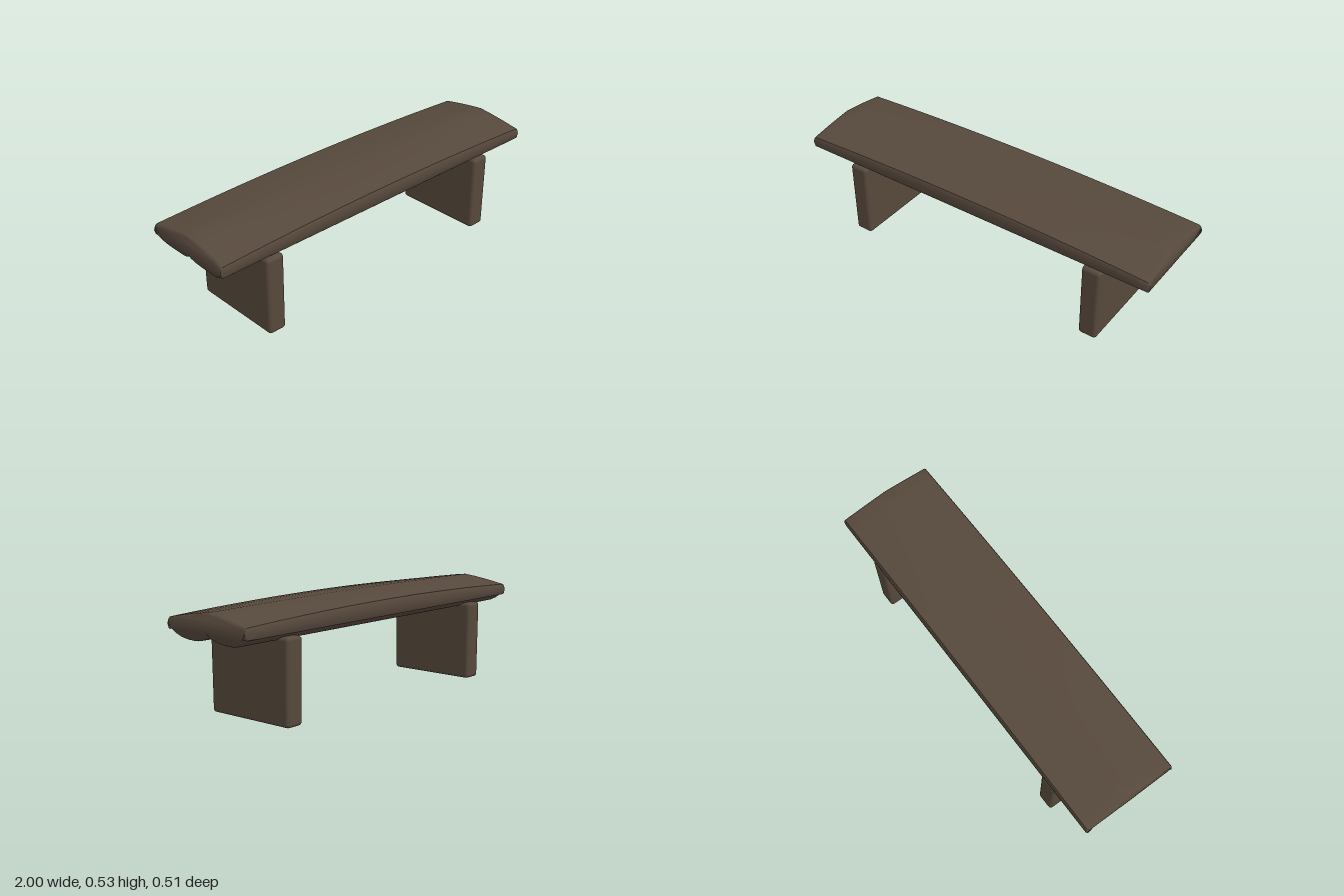
import * as THREE from 'three';
import { RoundedBoxGeometry } from 'three/addons/geometries/RoundedBoxGeometry.js';
import { toCreasedNormals } from 'three/addons/utils/BufferGeometryUtils.js';

const darkWood = new THREE.MeshStandardMaterial({ color: 0x56483c });
darkWood.name = 'dark wood';

// Half cross-section of the seat (z, y), from the bottom groove to the top ridge
const HALF = [
  [0, 0.43], [0.012, 0.418], [0.03, 0.404], [0.06, 0.393], [0.09, 0.387], [0.12, 0.385],
  [0.155, 0.388], [0.185, 0.396], [0.21, 0.41], [0.225, 0.422], [0.231, 0.434],
  [0.248, 0.429], [0.253, 0.435], [0.254, 0.47], [0.254, 0.5], [0.249, 0.51],
  [0.19, 0.518], [0.13, 0.525], [0.06, 0.531], [0, 0.534],
];

// How far the seat reaches along x at each height: rounded under, leaning in on top
function endReach(y) {
  if (y < 0.44) return 0.955 + 0.04 * Math.sqrt(Math.max(0, (y - 0.384) / 0.056));
  return 0.995 + 0.005 * Math.min(1, (y - 0.44) / 0.03) - 0.016 * Math.max(0, (y - 0.48) / 0.05);
}

function createSeat() {
  const outline = [
    ...HALF,
    ...HALF.slice(1, -1).reverse().map(([z, y]) => [-z, y]),
  ].map(([z, y]) => new THREE.Vector2(z, y));

  const bevel = 0.008;
  const geometry = new THREE.ExtrudeGeometry(new THREE.Shape(outline), {
    depth: 2 - 2 * bevel, steps: 28,
    bevelThickness: bevel, bevelSize: 0.006, bevelOffset: -0.006, bevelSegments: 3,
  });
  geometry.translate(0, 0, -(1 - bevel)).rotateY(Math.PI / 2);

  // Shape the ends and let the top sink gently towards them, most at the long edges
  const p = geometry.attributes.position;
  for (let i = 0; i < p.count; i++) {
    const x = p.getX(i), y = p.getY(i), z = p.getZ(i);
    const topness = THREE.MathUtils.clamp((y - 0.43) / 0.07, 0, 1);
    const sink = x * x * topness * (0.008 + 0.017 * Math.abs(z) / 0.254);
    p.setXYZ(i, x * endReach(y), y - sink, z);
  }
  const seat = new THREE.Mesh(toCreasedNormals(geometry, 0.8), darkWood);
  seat.name = 'seat';
  return seat;
}

// Solid slab leg, slightly narrower at the foot
function createLeg(side) {
  const geometry = new RoundedBoxGeometry(0.1, 0.412, 0.506, 4, 0.018);
  const p = geometry.attributes.position;
  for (let i = 0; i < p.count; i++) {
    const taper = 0.97 + 0.03 * (p.getY(i) / 0.412 + 0.5);
    p.setX(i, p.getX(i) * taper);
    p.setZ(i, p.getZ(i) * (0.985 + 0.015 * (p.getY(i) / 0.412 + 0.5)));
  }
  const leg = new THREE.Mesh(geometry, darkWood);
  leg.name = side > 0 ? 'leftLeg' : 'rightLeg';
  leg.position.set(side * 0.698, 0.206, 0);
  return leg;
}

export function createModel() {
  const bench = new THREE.Group();
  bench.name = 'bench';
  bench.add(createSeat(), createLeg(1), createLeg(-1));
  return bench;
}
